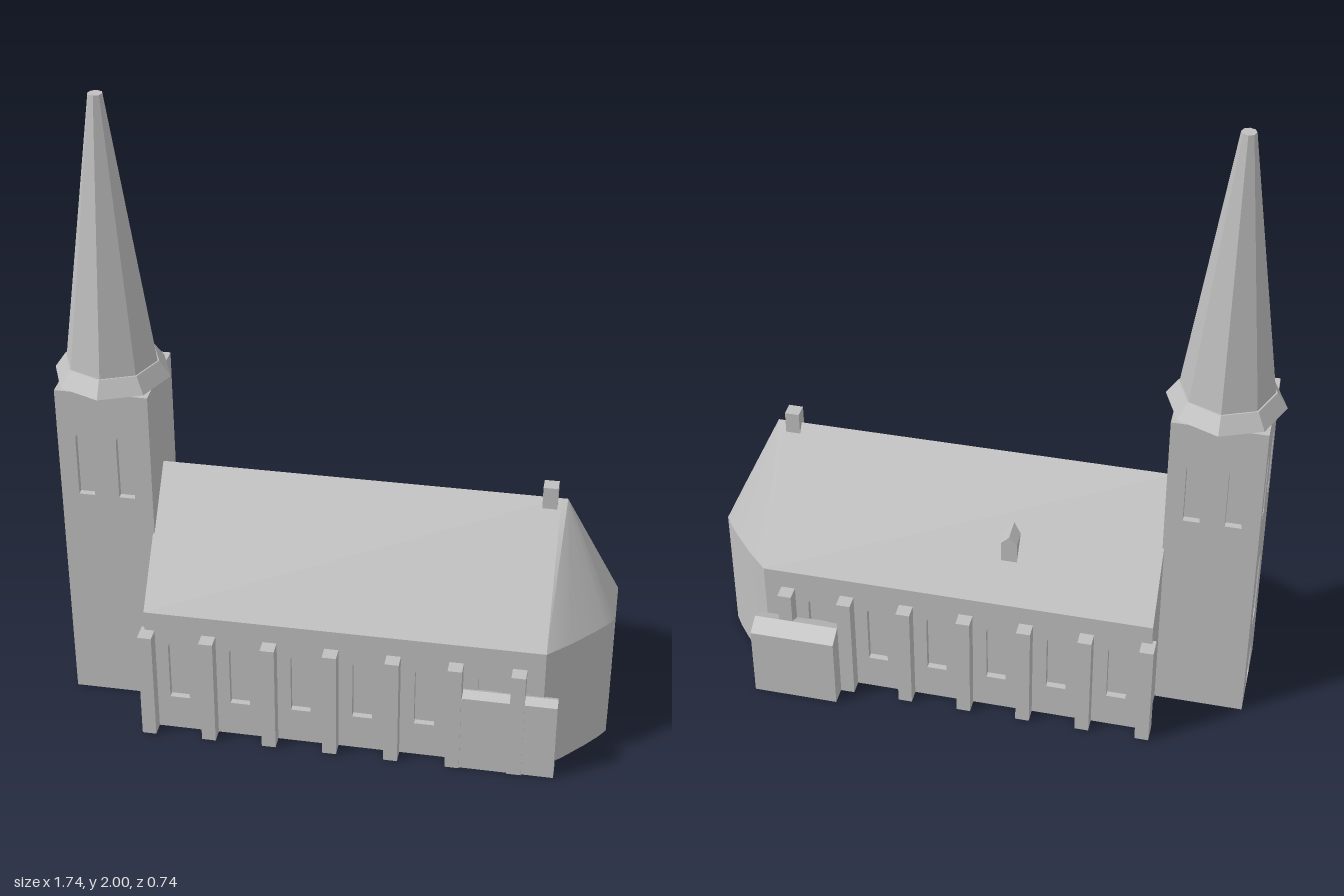
import * as THREE from 'three';
import { toCreasedNormals } from 'three/addons/utils/BufferGeometryUtils.js';

const stone = new THREE.MeshStandardMaterial({ color: 0xbfbfbf });
stone.name = 'stone';
const RECESS = 0.02;

function add(parent, name, geometry, x = 0, y = 0, z = 0, ry = 0) {
  const mesh = new THREE.Mesh(geometry, stone);
  mesh.name = name;
  mesh.position.set(x, y, z);
  mesh.rotation.y = ry;
  parent.add(mesh);
  return mesh;
}

// Box standing on its base
function block(w, h, d) {
  return new THREE.BoxGeometry(w, h, d).translate(0, h / 2, 0);
}

function polygon(points) {
  return new THREE.Shape(points.map(([x, y]) => new THREE.Vector2(x, y)));
}

// Round-headed opening centred on x, from y0 to y1
function archHole(x, y0, y1, w) {
  const r = w / 2, hole = new THREE.Path();
  hole.moveTo(x - r, y0);
  hole.lineTo(x + r, y0);
  hole.lineTo(x + r, y1 - r);
  hole.absarc(x, y1 - r, r, 0, Math.PI, false);
  hole.lineTo(x - r, y0);
  return hole;
}

// Wall skin with openings, outer face at local z = 0
function wall(w, h, openings) {
  const shape = polygon([[-w / 2, 0], [w / 2, 0], [w / 2, h], [-w / 2, h]]);
  shape.holes = openings.map((o) => archHole(...o));
  return new THREE.ExtrudeGeometry(shape, { depth: RECESS, bevelEnabled: false, curveSegments: 8 })
    .translate(0, 0, -RECESS);
}

// Prism with a symmetrical cross-section, centred and running along x
function prismX(points, length) {
  return new THREE.ExtrudeGeometry(polygon(points), { depth: length, bevelEnabled: false })
    .translate(0, 0, -length / 2).rotateY(Math.PI / 2);
}

// House-shaped cross-section
function gabled(w, eaves, ridge) {
  return [[-w / 2, 0], [w / 2, 0], [w / 2, eaves], [0, ridge], [-w / 2, eaves]];
}

export function createModel() {
  const church = new THREE.Group();
  church.name = 'church';
  const body = new THREE.Group();
  body.name = 'churchBody';
  body.position.z = 0.027;
  church.add(body);

  // Nave
  const EAVES = 0.435, RIDGE = 0.8, HALF = 0.297;
  const naveX = 0.0625, naveL = 1.235;
  add(body, 'naveCore', block(naveL, EAVES, 2 * (HALF - RECESS)), naveX);
  add(body, 'naveRoof', prismX([[-HALF, EAVES], [HALF, EAVES], [0, RIDGE]], naveL), naveX);
  for (const side of [1, -1]) {
    const openings = [];
    for (let i = 0; i < 6; i++) {
      openings.push([side * (-0.452 + i * 0.1925 - naveX), 0.12, 0.34, 0.062]);
    }
    add(body, 'naveWall', wall(naveL, EAVES, openings), naveX, 0, side * HALF, side > 0 ? 0 : Math.PI);
    for (let i = 0; i < 7; i++) {
      add(body, 'buttress', block(0.044, 0.37, 0.06), -0.545 + i * 0.1915, 0, side * 0.312);
    }
  }

  // Apse walls, with a notch for the end wall
  const arc = [[0.68, HALF], [0.745, 0.235], [0.81, 0.163], [0.845, 0.12], [0.87, 0.083]];
  const mirrored = arc.map(([x, z]) => [x, -z]).reverse();
  const plan = [...arc, [0.87 - RECESS, 0.083], [0.87 - RECESS, -0.083], ...mirrored];
  const apse = new THREE.ExtrudeGeometry(polygon(plan), { depth: EAVES, bevelEnabled: false })
    .rotateX(Math.PI / 2).translate(0, EAVES, 0);
  add(body, 'apseWalls', toCreasedNormals(apse, 0.6));
  add(body, 'apseEndWall', wall(0.166, EAVES, [[0, 0.17, 0.415, 0.065]]), 0.87, 0, 0, Math.PI / 2);

  // Apse roof, a half cone fanning from the ridge end
  const rim = [[0.68, RIDGE, 0], ...[...arc, ...mirrored].map(([x, z]) => [x, EAVES, z]), [0.68, RIDGE, 0]];
  const positions = [...rim.flat()], index = [];
  for (let i = 0; i < rim.length - 1; i++) {
    positions.push(0.7, RIDGE, 0);
    index.push(rim.length + i, i, i + 1);
  }
  const cone = new THREE.BufferGeometry();
  cone.setAttribute('position', new THREE.Float32BufferAttribute(positions, 3));
  cone.setIndex(index);
  cone.computeVertexNormals();
  add(body, 'apseRoof', cone);

  // Small details on the roof
  add(body, 'ridgeChimney', block(0.045, 0.075, 0.045), 0.648, 0.77, 0);
  const dormer = prismX(gabled(0.05, 0.11, 0.135), 0.1).rotateY(Math.PI / 2);
  add(body, 'dormer', dormer, -0.088, 0.5, -0.161);

  // Low annexes on both sides
  add(body, 'backAnnex', prismX(gabled(0.106, 0.245, 0.272), 0.27), 0.57, 0, -0.344);
  add(body, 'frontAnnex', block(0.325, 0.26, 0.045), 0.5625, 0, 0.315);
  add(body, 'frontAnnexCap', prismX(gabled(0.052, 0.01, 0.025), 0.288), 0.581, 0.26, 0.314);

  // Tower
  const T = 0.286, TOP = 1.105;
  const tower = new THREE.Group();
  tower.name = 'tower';
  tower.position.x = -0.693;
  body.add(tower);
  add(tower, 'towerCore', block(T - 2 * RECESS, TOP, T - 2 * RECESS));
  const belfry = [[-0.063, 0.745, 0.965, 0.05], [0.063, 0.745, 0.965, 0.05]];
  const west = [...belfry, [0, 0.27, 0.53, 0.08], [0, 0.003, 0.14, 0.085]];
  [belfry, [], belfry, west].forEach((openings, i) => {
    const a = i * Math.PI / 2;
    add(tower, 'towerWall', wall(T, TOP, openings), Math.sin(a) * T / 2, 0, Math.cos(a) * T / 2, a);
  });

  // Octagonal spire with flared foot
  const facet = (rTop, rBottom, h) => toCreasedNormals(new THREE.CylinderGeometry(rTop, rBottom, h, 8), 0.1);
  add(tower, 'spireFlare', facet(0.146, 0.18, 0.05), 0, 1.13, 0);
  add(tower, 'spire', facet(0.022, 0.142, 0.85), 0, 1.575, 0);
  return church;
}
